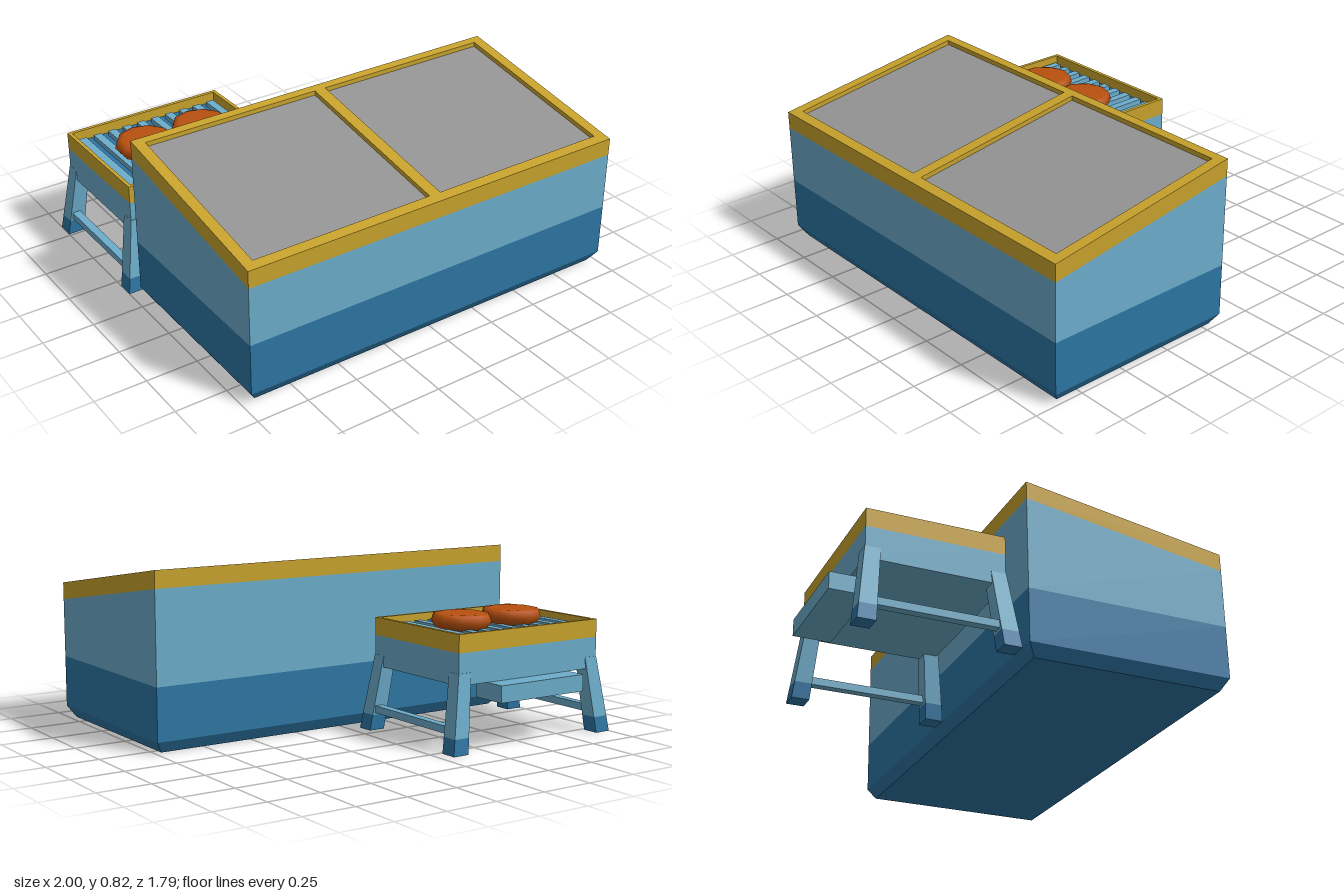
import * as THREE from 'three';

const mat = (name, color) => {
  const m = new THREE.MeshStandardMaterial({ color });
  m.name = name;
  return m;
};

// Box given by its min and max corners
function box(x0, x1, y0, y1, z0, z1) {
  return new THREE.BoxGeometry(x1 - x0, y1 - y0, z1 - z0)
    .translate((x0 + x1) / 2, (y0 + y1) / 2, (z0 + z1) / 2);
}

// Six-sided solid between a bottom and a top rectangle: [x, z, width, depth]
function frustum(y0, y1, bottom, top) {
  const g = new THREE.BoxGeometry(1, 1, 1);
  const p = g.attributes.position;
  for (let i = 0; i < p.count; i++) {
    const up = p.getY(i) > 0;
    const [x, z, w, d] = up ? top : bottom;
    p.setXYZ(i, x + p.getX(i) * w, up ? y1 : y0, z + p.getZ(i) * d);
  }
  g.computeVertexNormals();
  return g;
}

// Slanted lid line of the chest
const lidY = z => 0.825 - (z + 0.075) * 0.16;

// Box whose top (and optionally bottom) follows the lid slope
function slopedBox(x0, x1, z0, z1, topDrop, bottomDrop, flatBottom) {
  const g = box(x0, x1, 0, 1, z0, z1);
  const p = g.attributes.position;
  for (let i = 0; i < p.count; i++) {
    const line = lidY(p.getZ(i));
    const low = flatBottom === undefined ? line - bottomDrop : flatBottom;
    p.setY(i, p.getY(i) > 0.5 ? line - topDrop : low);
  }
  g.computeVertexNormals();
  return g;
}

export function createModel() {
  const lightBlue = mat('light blue', 0x6cacca);
  const darkBlue = mat('dark blue', 0x2d75a3);
  const yellow = mat('mustard yellow', 0xc8a22c);
  const grey = mat('glass grey', 0x949494);
  const brown = mat('patty orange brown', 0xb8500f);

  const model = new THREE.Group();
  const chest = new THREE.Group();
  chest.name = 'chestFreezer';
  const grill = new THREE.Group();
  grill.name = 'grill';
  model.add(chest, grill);
  const add = (group, name, geometry, material) => {
    const m = new THREE.Mesh(geometry, material);
    m.name = name;
    group.add(m);
    return m;
  };

  // Chest freezer: chamfered plinth, two-tone body
  const X0 = -0.965, X1 = 1, Z0 = -0.075, Z1 = 0.895;
  const cx = (X0 + X1) / 2, cz = (Z0 + Z1) / 2, w = X1 - X0, d = Z1 - Z0;
  add(chest, 'plinth', frustum(0, 0.055, [cx, cz, w - 0.07, d - 0.07], [cx, cz, w, d]), darkBlue);
  add(chest, 'lowerBody', box(X0, X1, 0.055, 0.305, Z0, Z1), darkBlue);
  add(chest, 'upperBody', slopedBox(X0, X1, Z0, Z1, 0.083, 0, 0.305), lightBlue);

  // Slanted rim with a centre bar, and two sunken lids
  const rail = 0.053, zBack = -0.035, zFront = 0.845;
  const rails = [[X0, X0 + rail], [-0.014, 0.044], [X1 - rail, X1]];
  for (const [a, b] of rails) {
    add(chest, 'rimRail', slopedBox(a, b, zBack, zFront, 0, 0.083), yellow);
  }
  add(chest, 'rimBack', slopedBox(X0, X1, Z0, zBack, 0, 0.083), yellow);
  add(chest, 'rimFront', slopedBox(X0, X1, zFront, Z1, 0, 0.083), yellow);
  for (let i = 0; i < 2; i++) {
    add(chest, 'glassLid', slopedBox(rails[i][1], rails[i + 1][0], zBack, zFront, 0.022, 0.08), grey);
  }

  // Grill, built around its own centre
  grill.position.set(-0.53, 0, -0.485);
  const hx = 0.413, hz = 0.315;
  add(grill, 'grillBody', box(-hx, hx, 0.305, 0.452, -hz, hz), lightBlue);
  const t = 0.018;
  for (const s of [-1, 1]) {
    add(grill, 'grillRimSide', box(-t / 2, t / 2, 0.452, 0.537, -hz, hz), yellow)
      .position.x = s * (hx - t / 2);
    add(grill, 'grillRimEnd', box(-hx + t, hx - t, 0.452, 0.537, -t / 2, t / 2), yellow)
      .position.z = s * (hz - t / 2);
  }

  // Cooking bed with slats
  add(grill, 'grillBed', box(-hx + t, hx - t, 0.452, 0.485, -hz + t, hz - t), darkBlue);
  for (let i = 0; i < 10; i++) {
    const x = (i - 4.5) * 0.079;
    add(grill, 'slat', box(x - 0.02, x + 0.02, 0.485, 0.51, -0.27, 0.27), lightBlue);
  }

  // Splayed legs with dark feet
  const section = (y, sx, sz) => {
    const k = y / 0.36, size = 0.082 - 0.012 * k;
    return [sx * (0.47 - 0.056 * k - size / 2), sz * (0.36 - 0.043 * k - size / 2), size, size];
  };
  for (const sx of [-1, 1]) {
    for (const sz of [-1, 1]) {
      add(grill, 'foot', frustum(0, 0.075, section(0, sx, sz), section(0.075, sx, sz)), darkBlue);
      add(grill, 'leg', frustum(0.075, 0.36, section(0.075, sx, sz), section(0.36, sx, sz)), lightBlue);
    }
    // Side stretcher
    add(grill, 'stretcher', box(-0.02, 0.02, 0.085, 0.12, -0.29, 0.29), lightBlue)
      .position.x = sx * 0.425;
  }

  // Drip tray sticking out at the back
  add(grill, 'dripTray', box(-0.245, 0.245, 0.225, 0.304, -0.41, -0.235), lightBlue);

  // Two round patties
  const profile = [[0, 0.505], [0.12, 0.505], [0.146, 0.538], [0.135, 0.57], [0.11, 0.576], [0, 0.577]]
    .map(([x, y]) => new THREE.Vector2(x, y));
  for (const x of [-0.155, 0.148]) {
    add(grill, 'patty', new THREE.LatheGeometry(profile, 10), brown).position.x = x;
  }

  return model;
}
